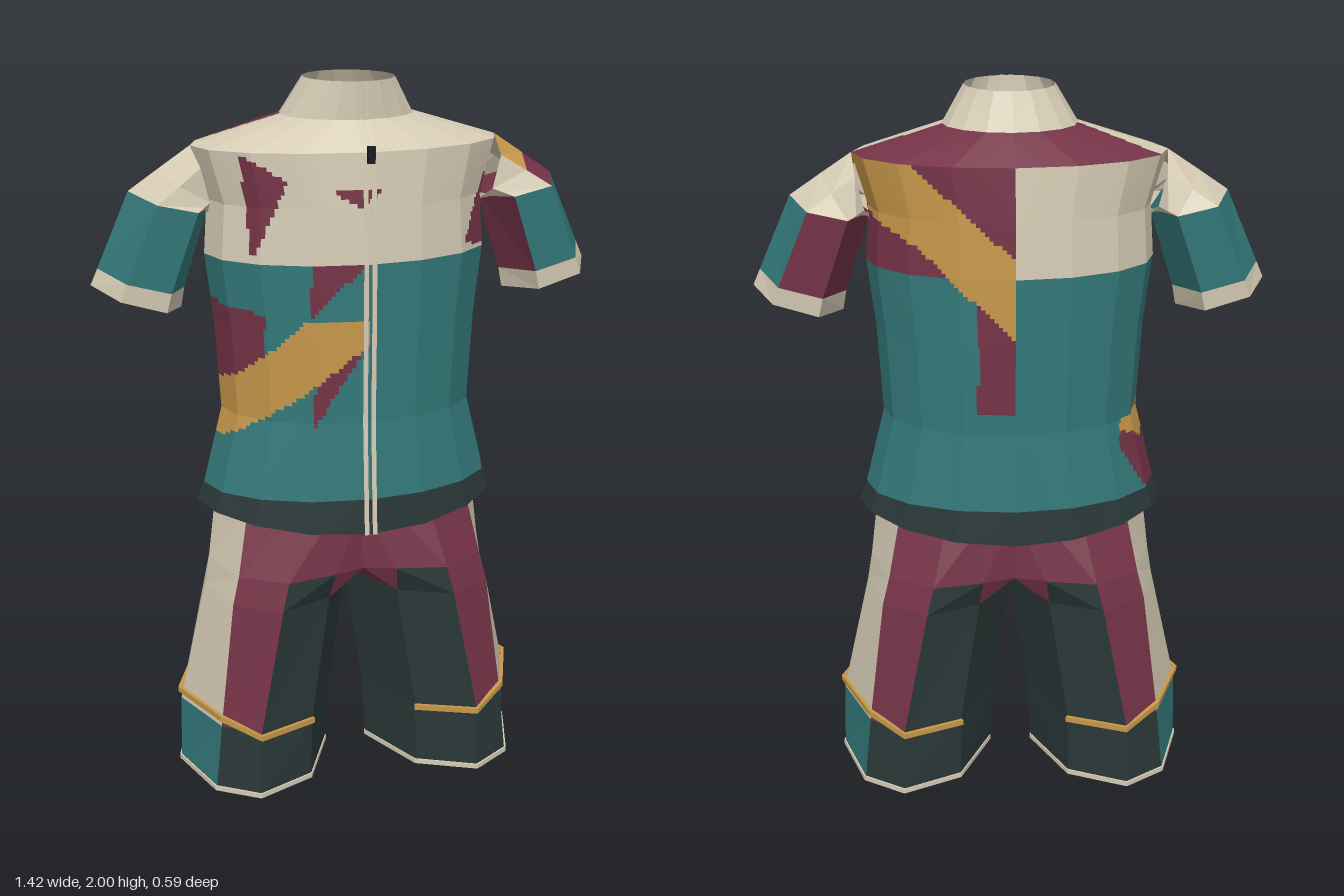
import * as THREE from 'three';

const mat = (name, color) => {
  const m = new THREE.MeshStandardMaterial({ color, side: THREE.DoubleSide });
  m.name = name;
  return m;
};
const V = (x, y, z) => new THREE.Vector3(x, y, z);

// Is point (u, v) inside a polygon of [u, v] corners?
function inside(u, v, poly) {
  let hit = false;
  for (let i = 0, j = poly.length - 1; i < poly.length; j = i++) {
    const [a, b] = poly[i], [c, d] = poly[j];
    if ((b > v) !== (d > v) && u < ((c - a) * (v - b)) / (d - b) + a) hit = !hit;
  }
  return hit;
}

export function createModel() {
  const colours = {
    cream: mat('cream', 0xd6ccb5),
    teal: mat('teal', 0x34797a),
    maroon: mat('maroon', 0x753347),
    gold: mat('gold', 0xc7984a),
    dark: mat('dark slate', 0x2b3838),
    black: mat('black', 0x15181a),
  };
  const model = new THREE.Group();
  model.name = 'sportsOutfit';

  // Faceted sheet through rows of points; paint(p, i, j) picks each cell's colour
  function sheet(name, rows, paint, { flip = false, step = 0 } = {}) {
    const lists = {};
    const group = new THREE.Group();
    group.name = name;
    for (let i = 0; i + 1 < rows.length; i++) for (let j = 0; j + 1 < rows[i].length; j++) {
      const A = rows[i][j], B = rows[i][j + 1], C = rows[i + 1][j + 1], D = rows[i + 1][j];
      const nu = step ? Math.ceil(Math.max(A.distanceTo(B), D.distanceTo(C)) / step) : 1;
      const nv = step ? Math.ceil(Math.max(A.distanceTo(D), B.distanceTo(C)) / step) : 1;
      const at = (u, v) => A.clone().lerp(B, u / nu).lerp(D.clone().lerp(C, u / nu), v / nv);
      for (let u = 0; u < nu; u++) for (let v = 0; v < nv; v++) {
        const a = at(u, v), b = at(u + 1, v), c = at(u + 1, v + 1), d = at(u, v + 1);
        const list = (lists[paint(at(u + 0.5, v + 0.5), i, j)] ??= []);
        for (const p of flip ? [a, c, d, a, b, c] : [a, d, c, a, c, b]) list.push(p.x, p.y, p.z);
      }
    }
    for (const key in lists) {
      const g = new THREE.BufferGeometry();
      g.setAttribute('position', new THREE.Float32BufferAttribute(lists[key], 3));
      g.computeVertexNormals();
      const mesh = new THREE.Mesh(g, colours[key]);
      mesh.name = `${name} ${key}`;
      group.add(mesh);
    }
    model.add(group);
  }

  // Shirt body: [y, half width, half depth, z centre, dip at front and back]
  const profile = [
    [0.82, 0.435, 0.272, 0, 0.05], [0.87, 0.415, 0.265, 0, 0], [1.09, 0.36, 0.25, 0, 0],
    [1.34, 0.375, 0.255, 0, 0], [1.53, 0.398, 0.256, 0, 0], [1.68, 0.388, 0.25, 0, 0],
    [1.825, 0.43, 0.24, 0, 0], [1.9, 0.185, 0.16, 0.008, 0], [2.0, 0.125, 0.137, 0.035, 0],
  ];
  const body = profile.map(([y, rx, rz, cz, dip]) => Array.from({ length: 17 }, (_, k) => {
    const a = (k * Math.PI) / 8;
    return V(rx * Math.cos(a), y - dip * Math.sin(a) ** 2, cz + rz * Math.sin(a));
  }));

  // Painted panels, as [x, y] outlines on the front and back and [z, y] on the side
  const frontPanels = [
    ['gold', [[-0.4, 1.15], [-0.16, 1.38], [0, 1.38], [0, 1.31], [-0.16, 1.18], [-0.4, 1.0]]],
    ['maroon', [[-0.155, 1.53], [-0.01, 1.53], [-0.155, 1.385]]],
    ['maroon', [[-0.145, 1.23], [-0.145, 1.08], [-0.01, 1.3]]],
    ['maroon', [[-0.4, 1.41], [-0.27, 1.39], [-0.27, 1.27], [-0.4, 1.15]]],
    ['maroon', [[-0.325, 1.82], [-0.21, 1.75], [-0.3, 1.54]]],
    ['maroon', [[-0.105, 1.73], [0.045, 1.73], [-0.02, 1.68]]],
    ['maroon', [[0.375, 1.75], [0.29, 1.55], [0.4, 1.54]]],
  ];
  const backPanels = [
    ['gold', [[0.45, 1.825], [0.27, 1.825], [0, 1.58], [0, 1.36], [0.25, 1.6], [0.45, 1.7]]],
    ['maroon', [[0, 1.825], [0.45, 1.825], [0.45, 1.53], [0.1, 1.53], [0.1, 1.15], [0, 1.15]]],
  ];
  const sidePanels = [
    ['gold', [[-0.17, 1.08], [0.08, 1.13], [0.08, 1.03], [-0.05, 1.01]]],
    ['maroon', [[-0.17, 1.08], [-0.05, 1.02], [0, 1.02], [0, 0.87], [-0.1, 0.87]]],
  ];
  const paintBody = (p, i) => {
    if (i === 0) return 'dark';
    if (i === 7) return 'cream';
    if (i === 6) return p.z < (p.x > 0 ? 0 : Math.min(0, 0.375 * (p.x + 0.17))) ? 'maroon' : 'cream';
    if (p.x < -0.3) for (const [c, poly] of sidePanels) if (inside(p.z, p.y, poly)) return c;
    for (const [c, poly] of p.z > 0 ? frontPanels : backPanels) if (inside(p.x, p.y, poly)) return c;
    return p.y > 1.53 ? 'cream' : 'teal';
  };
  sheet('shirtBody', body, paintBody, { step: 0.0125 });

  // Zip: two strips down the middle of the front, and a pull
  for (const s of [-1, 1]) {
    const rows = body.map((r) => [0.018, 0.005].map((x) => V(s * x, r[4].y, r[4].z + 0.006)));
    sheet('zipStrip', rows, () => 'cream', { flip: s < 0 });
  }
  const pull = new THREE.Mesh(new THREE.BoxGeometry(0.02, 0.045, 0.012), colours.black);
  pull.name = 'zipPull';
  pull.position.set(0, 1.822, 0.262);
  model.add(pull);

  // Sleeves: six-sided rings, [outer x, outer y, inner x, inner y, half depth]
  const sleeveRings = [
    [0.71, 1.46, 0.465, 1.385, 0.16], [0.69, 1.505, 0.455, 1.44, 0.165],
    [0.6, 1.71, 0.385, 1.66, 0.183], [0.515, 1.768, 0.385, 1.65, 0.15], [0.43, 1.825, 0.385, 1.64, 0.11],
  ];
  for (const s of [-1, 1]) {
    const rows = sleeveRings.map(([ox, oy, ix, iy, rz]) => Array.from({ length: 7 }, (_, k) => {
      const a = (k * Math.PI) / 3, t = (1 - Math.cos(a)) / 2;
      return V(s * (ox + (ix - ox) * t), oy + (iy - oy) * t, rz * Math.sin(a));
    }));
    const paint = (p, i, j) => {
      if (i === 0) return 'cream';
      if (i === 1) return s > 0 && (j === 2 || j === 3 || j === 4) ? 'maroon' : 'teal';
      if (s > 0 && j === 0) return i === 2 ? 'maroon' : 'gold';
      return 'cream';
    };
    sheet(s > 0 ? 'leftSleeve' : 'rightSleeve', rows, paint, { flip: s < 0 });
  }

  // Shorts: quarter rings from the outer seam round to the inner seam, [x, z] per column
  const legRings = [
    [0, [[0.505, 0], [0.44, 0.21], [0.325, 0.288], [0.16, 0.21], [0.065, 0]]],
    [0.2, [[0.5, 0], [0.42, 0.208], [0.32, 0.284], [0.155, 0.215], [0.05, 0]]],
    [0.56, [[0.42, 0], [0.375, 0.185], [0.25, 0.268], [0.1, 0.2], [0, 0]]],
    [0.64, [[0.407, 0], [0.355, 0.175], [0.23, 0.258], [0.09, 0.23], [0, 0.2]]],
    [0.82, [[0.385, 0], [0.32, 0.14], [0.19, 0.2], [0.08, 0.2], [0, 0.19]]],
    [0.9, [[0.35, 0], [0.3, 0.13], [0.18, 0.19], [0.08, 0.19], [0, 0.18]]],
  ];
  const paintLeg = (p, i, j) => {
    if (i === 0) return j === 0 ? 'teal' : 'dark';
    if (j === 0) return 'cream';
    if (i >= 3 || j === 1) return 'maroon';
    return i === 2 && j === 3 ? 'maroon' : 'dark';
  };
  const bandY = [0.228, 0.228, 0.19, 0.19];
  for (const sx of [-1, 1]) for (const sz of [-1, 1]) {
    const opt = { flip: sx * sz < 0 };
    const ring = (pts, y, k = 1) => pts.map(([x, z], j) =>
      V(sx * (0.285 + (x - 0.285) * k), typeof y === 'number' ? y : y[j], sz * z * k));
    sheet('shortsLeg', legRings.map(([y, pts]) => ring(pts, y)), paintLeg, opt);

    // Cream hem trim
    const foot = legRings[0][1];
    sheet('hemTrim', [ring(foot, 0, 0.95), ring(foot, 0, 1.02), ring(foot, 0.014, 1.02), ring(foot, 0.014, 1)],
      () => 'cream', opt);

    // Gold piping above the hem
    const pipe = legRings[1][1].slice(0, 4);
    const low = bandY.map((y) => y - 0.008), high = bandY.map((y) => y + 0.008);
    sheet('goldPiping', [ring(pipe, low, 0.99), ring(pipe, low, 1.04), ring(pipe, high, 1.04), ring(pipe, high, 0.99)],
      () => 'gold', opt);
  }
  return model;
}
